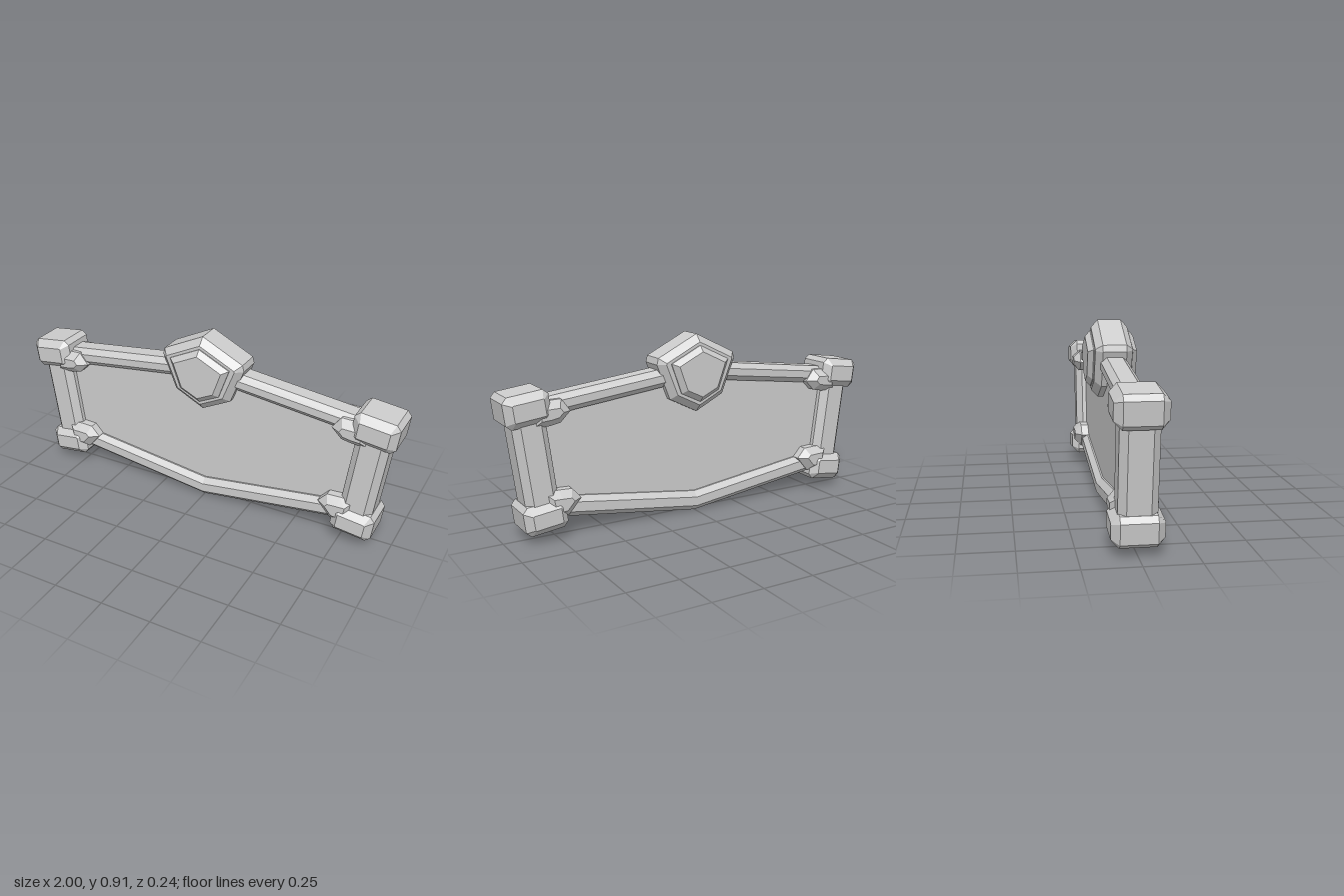
import * as THREE from 'three';

const stone = new THREE.MeshStandardMaterial({ color: 0xcccccc, flatShading: true });
stone.name = 'pale grey';

// Slab centred on z = 0 whose outline is chamfered at front and back
function slab(name, points, halfDepth, bevel) {
  const shape = new THREE.Shape(points.map(([x, y]) => new THREE.Vector2(x, y)));
  const depth = 2 * (halfDepth - bevel);
  const geometry = new THREE.ExtrudeGeometry(shape, {
    depth, bevelEnabled: bevel > 0, bevelSize: bevel, bevelThickness: bevel,
    bevelOffset: -bevel, bevelSegments: 1,
  });
  geometry.translate(0, 0, -depth / 2);
  const mesh = new THREE.Mesh(geometry, stone);
  mesh.name = name;
  return mesh;
}

// Rectangle with cut corners, tilted about its centre
function tiltedRect(cx, cy, w, h, cut, angle) {
  const a = w / 2, b = h / 2, c = Math.cos(angle), s = Math.sin(angle);
  return [
    [-a + cut, -b], [a - cut, -b], [a, -b + cut], [a, b - cut],
    [a - cut, b], [-a + cut, b], [-a, b - cut], [-a, -b + cut],
  ].map(([x, y]) => [cx + x * c - y * s, cy + x * s + y * c]);
}

// Closed symmetric outline from its right half, listed bottom to top
function symmetric(half) {
  const left = half.filter(([x]) => x > 0).reverse().map(([x, y]) => [-x, y]);
  return [...half, ...left];
}

export function createModel() {
  const group = new THREE.Group();
  group.name = 'signBoard';
  const tilt = -0.127;

  // Recessed board
  group.add(slab('panel', symmetric([
    [0, 0.05], [0.80, 0.15], [0.86, 0.62], [0, 0.73],
  ]), 0.03, 0));

  // Top and bottom rails, each bent at the middle
  group.add(slab('topRail', symmetric([
    [0, 0.678], [0.86, 0.573], [0.88, 0.662], [0, 0.768],
  ]), 0.065, 0.027));
  group.add(slab('bottomRail', symmetric([
    [0, 0], [0.80, 0.107], [0.80, 0.208], [0, 0.10],
  ]), 0.065, 0.027));

  for (const side of [1, -1]) {
    const flip = (points) => points.map(([x, y]) => [side * x, y]);

    // Leaning side post
    group.add(slab('sidePost',
      flip(tiltedRect(0.848, 0.38, 0.162, 0.5, 0, tilt)), 0.085, 0.033));

    // Chunky corner blocks
    group.add(slab('topCorner',
      flip(tiltedRect(0.884, 0.634, 0.218, 0.15, 0.024, tilt)), 0.115, 0.035));
    group.add(slab('bottomCorner',
      flip(tiltedRect(0.817, 0.12, 0.208, 0.142, 0.024, tilt)), 0.115, 0.035));

    // Inner gussets wrapping the corners
    group.add(slab('topGusset', flip([
      [0.86, 0.54], [0.775, 0.545], [0.725, 0.555], [0.675, 0.605],
      [0.72, 0.665], [0.86, 0.66],
    ]), 0.105, 0.035));
    group.add(slab('bottomGusset', flip([
      [0.70, 0.11], [0.80, 0.10], [0.82, 0.235], [0.745, 0.238],
      [0.68, 0.235], [0.635, 0.185],
    ]), 0.105, 0.035));
  }

  // Shield-shaped crest with a raised plate on both faces
  group.add(slab('crest', symmetric([
    [0, 0.52], [0.15, 0.595], [0.22, 0.77], [0.212, 0.802], [0, 0.906],
  ]), 0.09, 0.033));
  group.add(slab('crestPlate', symmetric([
    [0, 0.575], [0.105, 0.625], [0.16, 0.775], [0, 0.853],
  ]), 0.12, 0.025));

  return group;
}
